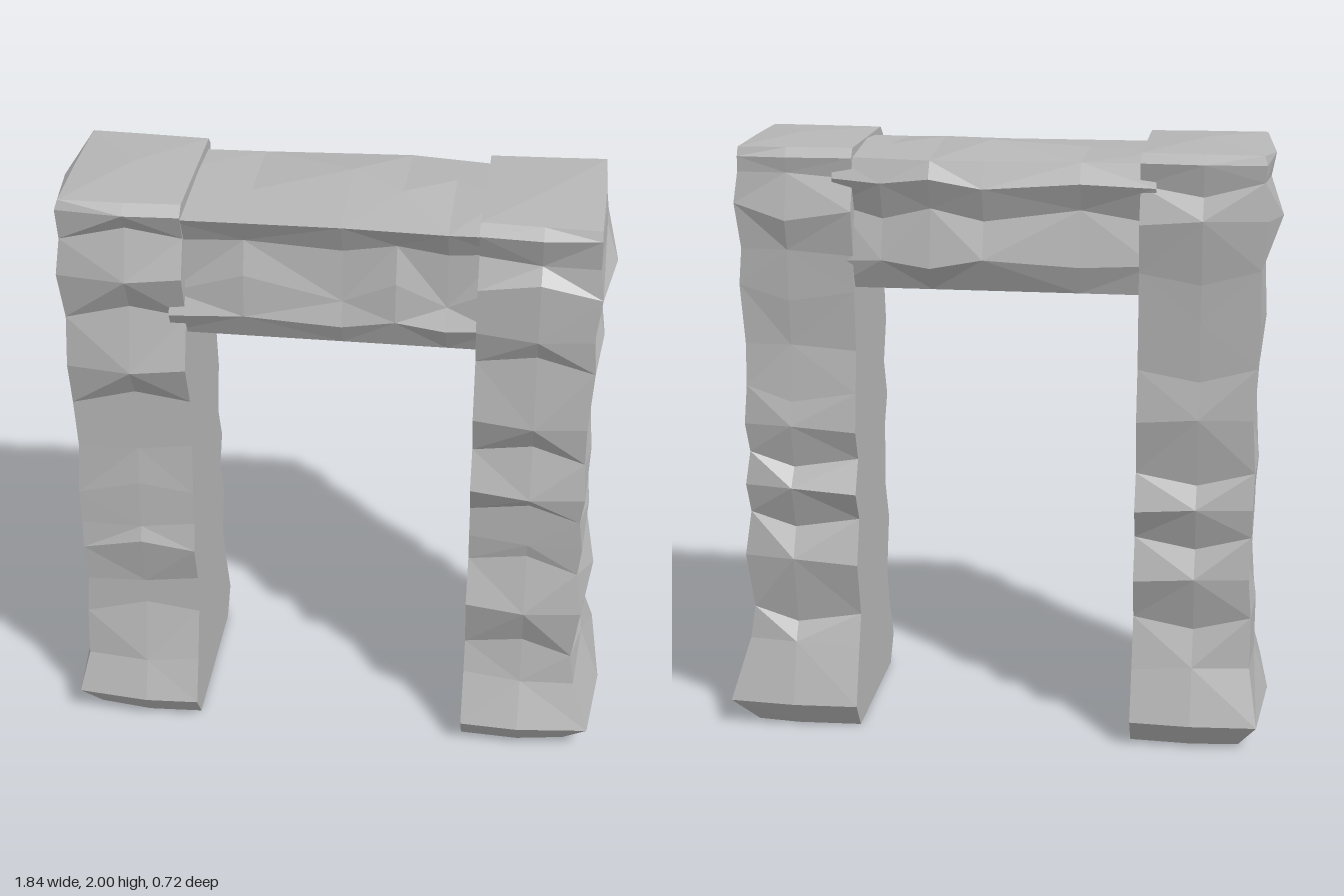
import * as THREE from 'three';

const stone = new THREE.MeshStandardMaterial({ color: 0xb6b6b6, flatShading: true, side: THREE.DoubleSide });
stone.name = 'grey stone';

// Skins a row of closed rings; optional peak closes the last ring with a fan
function loft(name, rings, flip, peak) {
  const pos = [];
  const tri = (a, b, c) => pos.push(...a, ...(flip ? c : b), ...(flip ? b : c));
  const n = rings[0].length;
  for (let i = 0; i < rings.length - 1; i++) {
    for (let j = 0; j < n; j++) {
      const k = (j + 1) % n;
      const a = rings[i][j], b = rings[i][k], c = rings[i + 1][k], d = rings[i + 1][j];
      if ((i + j) % 2) { tri(a, b, c); tri(a, c, d); }
      else { tri(a, b, d); tri(b, c, d); }
    }
  }
  if (peak) {
    const top = rings[rings.length - 1];
    for (let j = 0; j < n; j++) tri(top[j], top[(j + 1) % n], peak);
  }
  const geo = new THREE.BufferGeometry();
  geo.setAttribute('position', new THREE.Float32BufferAttribute(pos, 3));
  geo.computeVertexNormals();
  const mesh = new THREE.Mesh(geo, stone);
  mesh.name = name;
  return mesh;
}

// Rows: height, outer reach, front depth, back depth
const leftRows = [
  [0, 0.84, 0.29, 0.29], [0.09, 0.92, 0.355, 0.355], [0.27, 0.85, 0.28, 0.29],
  [0.38, 0.80, 0.25, 0.25], [0.57, 0.875, 0.30, 0.30], [0.72, 0.81, 0.24, 0.25],
  [0.82, 0.845, 0.25, 0.305], [0.93, 0.80, 0.25, 0.25], [1.03, 0.84, 0.30, 0.29],
  [1.16, 0.81, 0.25, 0.27], [1.3, 0.81, 0.30, 0.25], [1.5, 0.855, 0.265, 0.265],
  [1.62, 0.82, 0.30, 0.27], [1.77, 0.88, 0.30, 0.30], [1.87, 0.84, 0.26, 0.26],
  [1.945, 0.835, 0.295, 0.27], [1.975, 0.83, 0.255, 0.245],
];
const rightRows = [
  [0, 0.86, 0.29, 0.29], [0.09, 0.92, 0.355, 0.36], [0.25, 0.87, 0.30, 0.30],
  [0.42, 0.87, 0.25, 0.25], [0.56, 0.835, 0.25, 0.30], [0.7, 0.85, 0.29, 0.25],
  [0.8, 0.855, 0.27, 0.30], [0.92, 0.865, 0.265, 0.25], [1.1, 0.83, 0.25, 0.285],
  [1.27, 0.86, 0.25, 0.26], [1.42, 0.875, 0.31, 0.265], [1.59, 0.865, 0.255, 0.27],
  [1.75, 0.92, 0.31, 0.30], [1.87, 0.875, 0.26, 0.26], [1.95, 0.89, 0.295, 0.28],
  [1.98, 0.86, 0.26, 0.25],
];

// Pillar: flat inner face, three rough outer faces, hollow at the foot
function pillar(name, side, rows, inner, edge, peakY) {
  const rings = rows.map(([y, x, f, b], i) => {
    const foot = i < 2, cap = i > rows.length - 3;
    const t = foot || cap ? 0 : 0.025;
    const w = i % 2 ? t : -t;
    // the corner lines stay straighter than the middle of each face
    const cx = foot ? x - 0.03 : edge + 0.3 * (x - edge);
    const cf = foot ? f - 0.025 : 0.265 + 0.35 * (f - 0.265);
    const cb = foot ? b - 0.015 : 0.26 + 0.35 * (b - 0.26);
    return [
      [inner, y - t * 0.3, f - 0.01], [0.65, y + w, f], [cx, y - t, cf],
      [x, y, 0.02 + w], [cx, y + t, -cb],
      [0.67, y - w, -b], [inner, y + t * 0.3, -b + 0.01],
    ].map(([px, py, pz]) => [px * side, py, pz]);
  });
  return loft(name, rings, side < 0, [0.67 * side, peakY, 0]);
}

// Lintel: sections along x with a flat underside and an uneven top
function lintel() {
  // x, top height, front shift, back depth, ledge height shift
  const stations = [
    [-0.52, 1.955, 0.005, 0.265, 0], [-0.28, 1.95, 0, 0.275, 0.01], [0.03, 1.985, -0.005, 0.295, -0.01],
    [0.2, 1.975, 0, 0.305, 0.02], [0.36, 1.965, 0.005, 0.285, 0], [0.52, 1.975, 0, 0.265, 0.01],
  ];
  const rings = stations.map(([x, top, f, b, s], i) => {
    const w = i % 2 ? 0.02 : -0.02;
    return [
      [top, w * 3], [1.94, 0.275 + f], [1.85 + s, 0.23 + f], [1.71 + w * 2, 0.25 + w * 0.5],
      [1.6 + s, 0.27 + f], [1.52, 0.23],
      [1.52, -0.23], [1.62 - s, -b + 0.01], [1.77 + w, -b + 0.045], [1.87 + s, -b], [1.945, -b + 0.035],
    ].map(([y, z]) => [x, y, z]);
  });
  return loft('lintel', rings, false);
}

export function createModel() {
  const gate = new THREE.Group();
  gate.name = 'stoneGate';
  gate.add(
    pillar('leftPillar', 1, leftRows, 0.455, 0.825, 1.99),
    pillar('rightPillar', -1, rightRows, 0.47, 0.855, 2.0),
    lintel(),
  );
  return gate;
}
